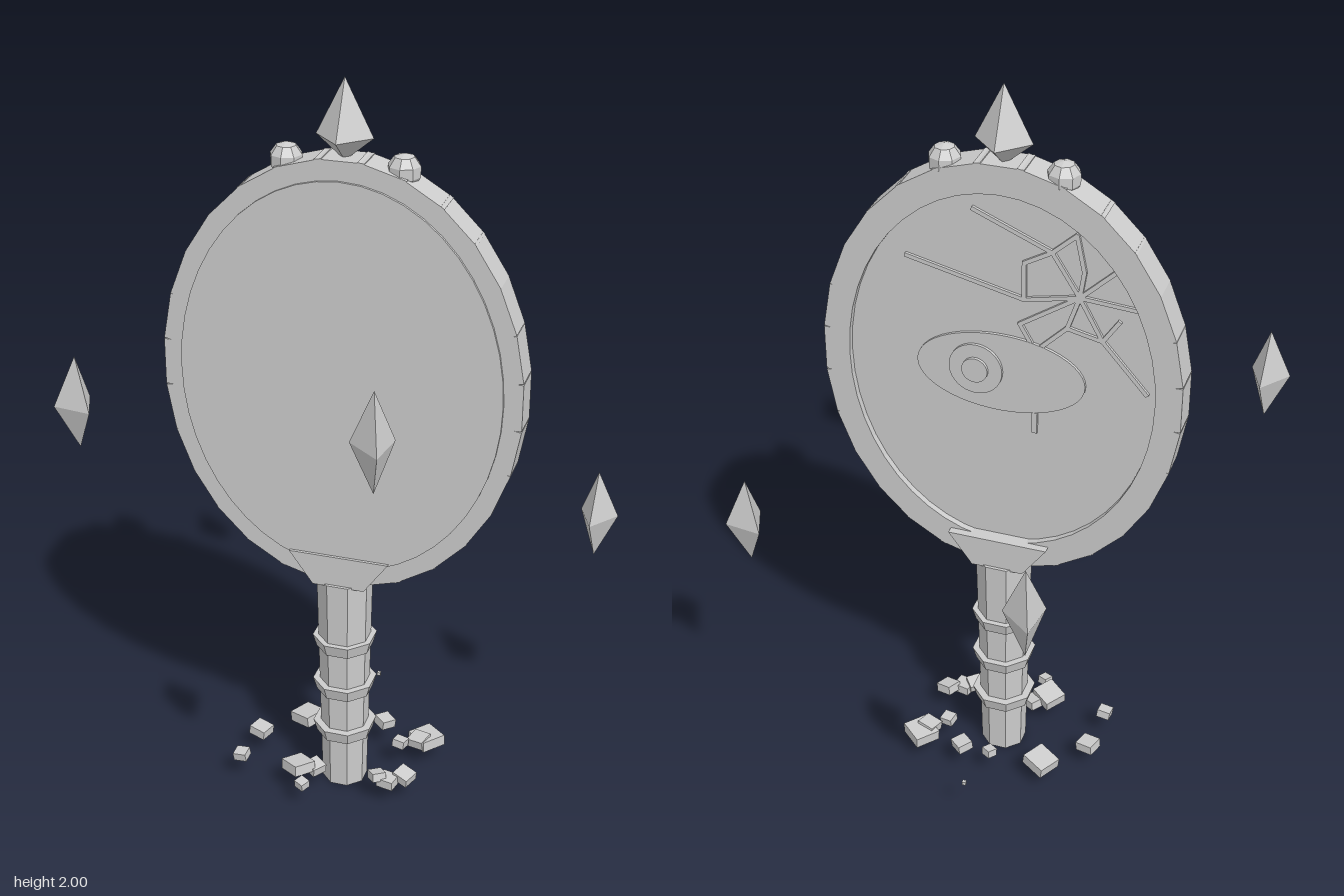
import * as THREE from 'three';

export function createModel() {
  const root = new THREE.Group();
  root.name = 'handMirror';
  const stone = new THREE.MeshStandardMaterial({ color: 0xcccccc, flatShading: true });
  stone.name = 'paleGrey';

  const add = (name, geo, x = 0, y = 0, z = 0, parent = root) => {
    const m = new THREE.Mesh(geo, stone);
    m.name = name;
    m.position.set(x, y, z);
    parent.add(m);
    return m;
  };
  const ellipse = (rx, ry, Kind = THREE.Shape) => {
    const s = new Kind();
    s.absellipse(0, 0, rx, ry, 0, Math.PI * 2);
    return s;
  };
  const extrude = (shape, z0, z1) =>
    new THREE.ExtrudeGeometry(shape, { depth: z1 - z0, bevelEnabled: false, curveSegments: 24 }).translate(0, 0, z0);
  const CY = 1.23;

  // Oval frame: a ring with a chain of blocks around its edge
  const ring = ellipse(0.452, 0.562);
  ring.holes.push(ellipse(0.4, 0.505, THREE.Path));
  add('frameRing', extrude(ring, -0.04, 0.045), 0, CY);
  const blocks = new THREE.Group();
  blocks.name = 'frameBlocks';
  root.add(blocks);
  for (let i = 0; i < 28; i++) {
    const a = (i / 28) * Math.PI * 2;
    const block = add('frameBlock', new THREE.BoxGeometry(0.06, 0.125, 0.086),
      0.437 * Math.cos(a), CY + 0.549 * Math.sin(a), 0.003, blocks);
    block.rotation.z = Math.atan2(Math.sin(a) / 0.549, Math.cos(a) / 0.437);
  }

  // Backing plate; its rear side is the recessed glass
  add('glassAndBacking', extrude(ellipse(0.42, 0.53), -0.022, 0.053), 0, CY);

  // Eye on the glass
  add('eyeWhite', extrude(ellipse(0.22, 0.11), -0.03, -0.021), 0, 1.24);
  add('iris', extrude(ellipse(0.07, 0.07), -0.038, -0.029), 0.063, 1.244);
  add('pupil', extrude(ellipse(0.034, 0.034), -0.046, -0.037), 0.063, 1.244);
  add('tear', new THREE.BoxGeometry(0.014, 0.06, 0.009), -0.09, 1.11, -0.026);

  // Cracks: thin bars along polylines spreading from one point
  const cracks = new THREE.Group();
  cracks.name = 'cracks';
  root.add(cracks);
  const hub = [-0.2, 1.49];
  const lines = [
    [hub, [-0.06, 1.46], [0.243, 1.53]],
    [hub, [-0.13, 1.6], [0.07, 1.684]],
    [hub, [-0.21, 1.56], [-0.19, 1.655]],
    [hub, [-0.3, 1.585]],
    [hub, [-0.34, 1.48]],
    [hub, [-0.26, 1.38], [-0.375, 1.25]],
    [hub, [-0.17, 1.4], [-0.09, 1.32]],
    [hub, [-0.05, 1.39]],
    [[-0.06, 1.46], [-0.06, 1.56], [-0.13, 1.6], [-0.19, 1.655]],
    [[-0.05, 1.39], [-0.09, 1.32]],
    [[-0.17, 1.4], [-0.26, 1.38], [-0.3, 1.44]],
  ];
  for (const line of lines) {
    for (let i = 1; i < line.length; i++) {
      const [x0, y0] = line[i - 1], [x1, y1] = line[i];
      const bar = add('crack', new THREE.BoxGeometry(Math.hypot(x1 - x0, y1 - y0) + 0.006, 0.011, 0.009),
        (x0 + x1) / 2, (y0 + y1) / 2, -0.025, cracks);
      bar.rotation.z = Math.atan2(y1 - y0, x1 - x0);
    }
  }

  // Flared collar between frame and handle
  const collar = new THREE.Shape([[-0.07, 0.645], [0.07, 0.645], [0.135, 0.735], [-0.135, 0.735]]
    .map(([x, y]) => new THREE.Vector2(x, y)));
  add('collar', extrude(collar, -0.061, 0.061));

  // Eight-sided handle with three bands
  const octagon = (top, bottom, h) => new THREE.CylinderGeometry(top, bottom, h, 8).rotateY(Math.PI / 8);
  add('handle', octagon(0.075, 0.062, 0.65), 0, 0.325);
  for (const y of [0.45, 0.31, 0.17]) add('handleBand', octagon(0.087, 0.077, 0.035), 0, y);

  // Double-ended crystal: tall upper cone, shorter lower cone
  const crystal = (name, sides, r, up, down) => {
    const g = new THREE.Group();
    g.name = name;
    add('crystalTop', new THREE.ConeGeometry(r, up, sides, 1, true), 0, up / 2, 0, g);
    add('crystalBottom', new THREE.ConeGeometry(r, down, sides, 1, true).rotateZ(Math.PI), 0, -down / 2, 0, g);
    root.add(g);
    return g;
  };

  // Crown: pointed finial and two round studs
  crystal('finial', 4, 0.072, 0.143, 0.06).position.set(0, 1.857, 0);
  for (const s of [-1, 1]) add('stud', new THREE.SphereGeometry(0.043, 8, 5), s * 0.147, 1.787, 0);

  // Four shards floating in a circle
  for (const [x, y, z] of [[-0.617, 1.18, 0.26], [0.26, 1.375, 0.617], [0.617, 0.79, -0.26], [-0.26, 0.985, -0.617]]) {
    const shard = crystal('floatingShard', 3, 0.059, 0.135, 0.115);
    shard.position.set(x, y, z);
    // one corner of each half points outward
    const turn = Math.atan2(x, z);
    shard.children[0].rotation.y = turn;
    shard.children[1].rotation.y = turn;
  }

  // Broken chips around the foot: x, z, size, turn
  const chips = [
    [-0.155, -0.14, 0.072, 0.5], [-0.01, -0.157, 0.03, 0.6], [0.07, -0.16, 0.045, 0.7],
    [0.2, -0.135, 0.075, 0.7], [0.185, -0.11, 0.05, 0.3], [0.14, -0.075, 0.035, 0.2],
    [-0.26, -0.035, 0.05, 0.3], [-0.27, 0.1, 0.037, 0.05], [-0.1, 0.11, 0.068, 0.65],
    [-0.06, 0.085, 0.045, 0.6], [-0.067, 0.178, 0.03, 0.5], [0.12, 0.09, 0.04, 0.9],
    [0.15, 0.085, 0.048, 0.2], [0.19, 0.06, 0.048, 0.4],
  ];
  chips.forEach(([x, z, s, turn], i) => {
    const chip = add('chip', new THREE.BoxGeometry(s, 0.016 + s * 0.2, s * 0.95), x, 0.068 + (i % 3) * 0.007, z);
    chip.rotation.set(0.15 * Math.sin(i * 2.1), -turn, 0.15 * Math.cos(i * 1.7));
  });
  add('speck', new THREE.BoxGeometry(0.01, 0.01, 0.01), 0, 0.117, -0.335);

  return root;
}
